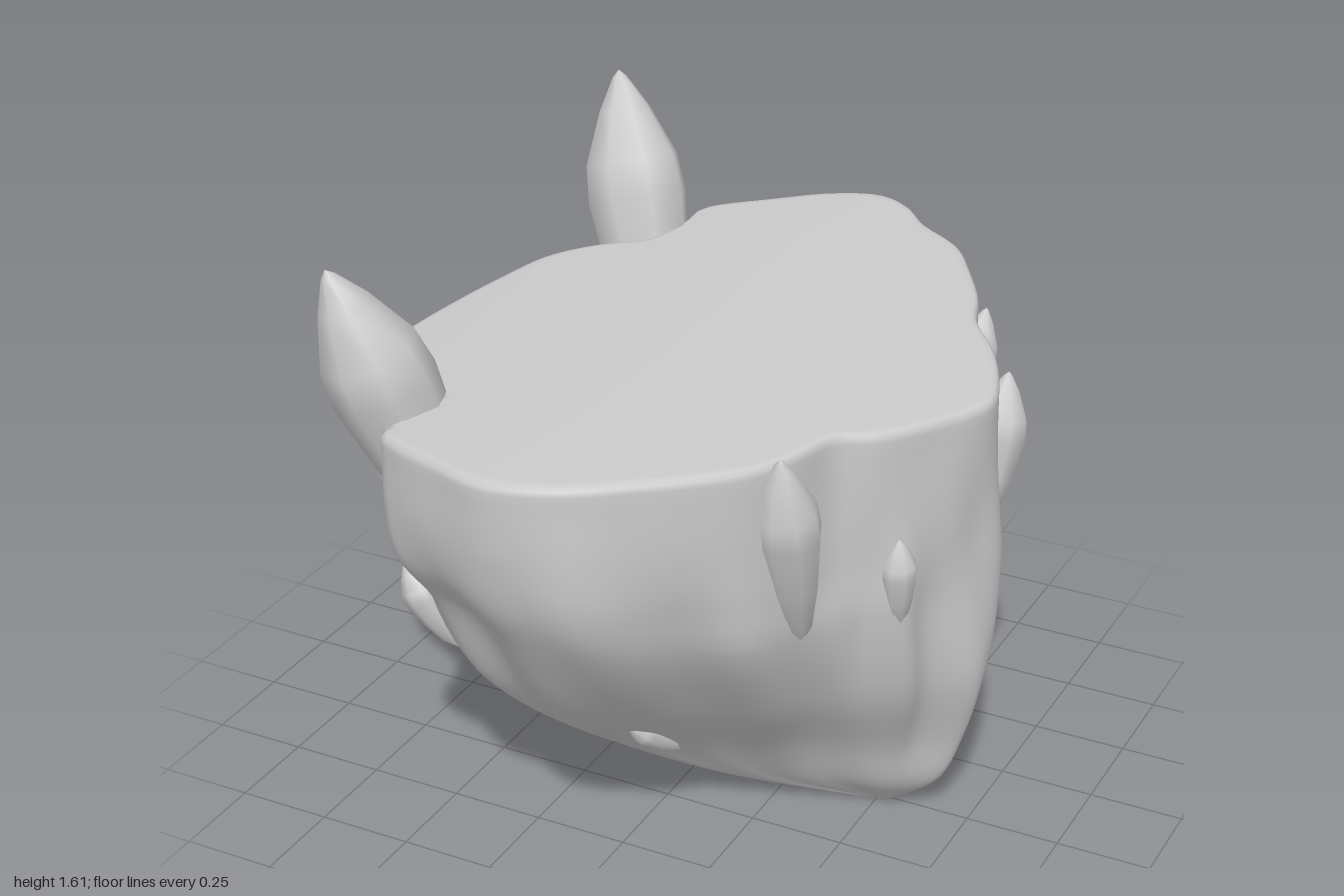
import * as THREE from 'three';

const SEG = 192, ROWS = 44;
const stone = new THREE.MeshStandardMaterial({ color: 0xcccccc });

// Rim of the flat top as [x, z], running from +x towards +z
const RIM = [
  [0.78, 0.05], [0.71, 0.22], [0.62, 0.36], [0.54, 0.42], [0.5, 0.55], [0.45, 0.66], [0.36, 0.76],
  [0.25, 0.85], [0.1, 0.95], [-0.08, 0.99], [-0.25, 0.93], [-0.4, 0.86], [-0.47, 0.8], [-0.43, 0.69],
  [-0.44, 0.57], [-0.58, 0.53], [-0.71, 0.5], [-0.77, 0.38], [-0.79, 0.2], [-0.77, 0], [-0.73, -0.2],
  [-0.68, -0.36], [-0.58, -0.45], [-0.45, -0.51], [-0.41, -0.65], [-0.41, -0.77], [-0.25, -0.88],
  [-0.1, -0.97], [0.03, -1], [0.13, -0.95], [0.22, -0.85], [0.36, -0.75], [0.45, -0.62], [0.53, -0.48],
  [0.58, -0.35], [0.67, -0.23], [0.74, -0.1],
];

// Cross-sections of the rock below, from the keel at +x towards +z
const SECTIONS = [
  { y: 0.1, outline: [[0.66, 0], [0.57, 0.08], [0.44, 0.12], [0.27, 0.18], [0.13, 0.23], [0.06, 0.21], [0, 0.16],
    [-0.03, 0.09], [-0.01, 0.02], [0.03, -0.05], [0.1, -0.1], [0.2, -0.13], [0.32, -0.11], [0.45, -0.08], [0.57, -0.05]] },
  { y: 0.25, outline: [[0.72, 0], [0.61, 0.12], [0.46, 0.2], [0.24, 0.31], [0, 0.41], [-0.17, 0.42], [-0.31, 0.33],
    [-0.41, 0.18], [-0.4, 0.02], [-0.3, -0.12], [-0.14, -0.22], [0.05, -0.25], [0.28, -0.21], [0.47, -0.14], [0.61, -0.08]] },
  { y: 0.48, outline: [[0.78, 0.02], [0.67, 0.2], [0.53, 0.33], [0.3, 0.5], [0, 0.66], [-0.28, 0.63], [-0.47, 0.5],
    [-0.6, 0.28], [-0.57, 0.02], [-0.46, -0.26], [-0.27, -0.53], [0, -0.62], [0.3, -0.49], [0.5, -0.33], [0.66, -0.18]] },
  { y: 0.75, outline: [[0.78, 0.03], [0.68, 0.25], [0.56, 0.42], [0.36, 0.68], [0.02, 0.86], [-0.33, 0.75], [-0.56, 0.53],
    [-0.72, 0.3], [-0.68, 0.02], [-0.56, -0.32], [-0.36, -0.71], [0, -0.87], [0.36, -0.67], [0.55, -0.42], [0.69, -0.23]] },
];

const topHeight = (x) => 1.265 - 0.095 * (0.25 - x) ** 2;
const closedCurve = (points) => new THREE.CatmullRomCurve3(
  points.map(([x, z]) => new THREE.Vector3(x, 0, z)), true, 'centripetal');

const rimPoints = closedCurve(RIM).getSpacedPoints(400);
const wrap = (a) => Math.atan2(Math.sin(a), Math.cos(a));

// Point of the rim in a given direction from the centre
function rimAt(angle) {
  for (let i = 0; i < rimPoints.length - 1; i++) {
    const p = rimPoints[i], q = rimPoints[i + 1];
    const da = wrap(Math.atan2(p.z, p.x) - angle), db = wrap(Math.atan2(q.z, q.x) - angle);
    if (da <= 0 && db > 0 && db - da < 1) return p.clone().lerp(q, -da / (db - da));
  }
  return rimPoints[0].clone();
}

// Columns run from the keel up to the rim as smooth curves through the sections
function wallRings() {
  const curves = SECTIONS.map((s) => closedCurve(s.outline));
  const rings = Array.from({ length: ROWS + 1 }, () => []);
  for (let j = 0; j < SEG; j++) {
    const u = j / SEG, a = u * Math.PI * 2;
    const path = curves.map((c, i) => c.getPoint(u).setY(SECTIONS[i].y));
    const keel = new THREE.Vector3(0.52, 0, 0).lerp(path[0], 0.12).setY(0);
    const shoulder = path[path.length - 1];
    const rim = rimAt(Math.atan2(shoulder.z, shoulder.x));
    const upper = [0.3, 0.6, 1].map((t) => {
      const p = shoulder.clone().lerp(rim, 1 - (1 - t) ** 3.2);
      return p.setY(THREE.MathUtils.lerp(0.75, topHeight(rim.x) - 0.025, t));
    });
    const column = new THREE.CatmullRomCurve3([keel, ...path, ...upper], false, 'centripetal');
    rings.forEach((ring, i) => {
      const t = i / ROWS, p = column.getPoint(t);
      // folds fade out at the keel and at the rim
      const fold = 1 + Math.sin(Math.PI * t) ** 1.5
        * (0.018 * Math.sin(11 * a + 4 * t) + 0.012 * Math.sin(19 * a - 5 * t + 1));
      ring.push([p.x * fold, p.y, p.z * fold]);
    });
  }
  return rings;
}

function rockGeometry() {
  const pos = [], index = [];
  const rings = wallRings();
  const edge = rings[ROWS];
  // rounded rim, then the flat top
  for (const [k, drop] of [[0.997, 0.01], [0.985, 0.002], [0.96, 0], [0.6, 0], [0.25, 0]]) {
    rings.push(edge.map(([x, , z]) => [x * k, topHeight(x * k) - drop, z * k]));
  }
  rings.forEach((ring) => ring.forEach((p) => pos.push(...p)));
  const bottom = pos.length / 3;
  pos.push(0.52, 0, 0, 0, topHeight(0), 0);
  const last = (rings.length - 1) * SEG;
  for (let j = 0; j < SEG; j++) {
    const k = (j + 1) % SEG;
    for (let i = 0; i < rings.length - 1; i++) {
      const a = i * SEG + j, b = i * SEG + k;
      index.push(a, a + SEG, b, b, a + SEG, b + SEG);
    }
    index.push(bottom, j, k, last + j, bottom + 1, last + k);
  }
  const g = new THREE.BufferGeometry();
  g.setAttribute('position', new THREE.Float32BufferAttribute(pos, 3));
  g.setIndex(index);
  g.computeVertexNormals();
  return g;
}

// Pointed crystal between two ends
function crystal(name, from, to, radius) {
  const a = new THREE.Vector3(...from), b = new THREE.Vector3(...to);
  const axis = b.clone().sub(a);
  const profile = [[0, 0], [0.5, 0.15], [0.8, 0.38], [1, 0.63], [0.93, 0.74], [0.5, 0.89], [0.14, 0.98], [0, 1]]
    .map(([r, t]) => new THREE.Vector2(r * radius, t * axis.length()));
  const mesh = new THREE.Mesh(new THREE.LatheGeometry(profile, 8), stone);
  mesh.name = name;
  mesh.position.copy(a);
  mesh.quaternion.setFromUnitVectors(new THREE.Vector3(0, 1, 0), axis.normalize());
  return mesh;
}

export function createModel() {
  const group = new THREE.Group();
  group.name = 'floatingRock';
  const rock = new THREE.Mesh(rockGeometry(), stone);
  rock.name = 'rockBody';
  group.add(rock);

  // Large crystals set into the two rim notches
  group.add(crystal('largeFrontCrystal', [-0.38, 0.72, 0.52], [-0.64, 1.57, 0.74], 0.135));
  group.add(crystal('largeBackCrystal', [-0.38, 0.72, -0.5], [-0.64, 1.605, -0.71], 0.14));

  // Small crystals growing from the walls
  [
    [[0.48, 0.7, 0.48], [0.49, 1.275, 0.62], 0.085],
    [[0.65, 0.69, 0.28], [0.66, 0.96, 0.31], 0.048],
    [[0.69, 0.76, -0.13], [0.72, 1.19, -0.22], 0.075],
    [[0.61, 0.56, -0.27], [0.64, 0.78, -0.33], 0.042],
    [[0.43, 0.77, -0.59], [0.47, 1.12, -0.7], 0.062],
    [[-0.45, 0.48, 0.53], [-0.57, 0.72, 0.58], 0.055],
    [[-0.69, 0.74, 0.25], [-0.76, 0.94, 0.28], 0.04],
    [[0.1, 0.24, 0.37], [0.03, 0.38, 0.52], 0.035],
  ].forEach(([from, to, r], i) => group.add(crystal(`smallCrystal${i + 1}`, from, to, r)));
  return group;
}
